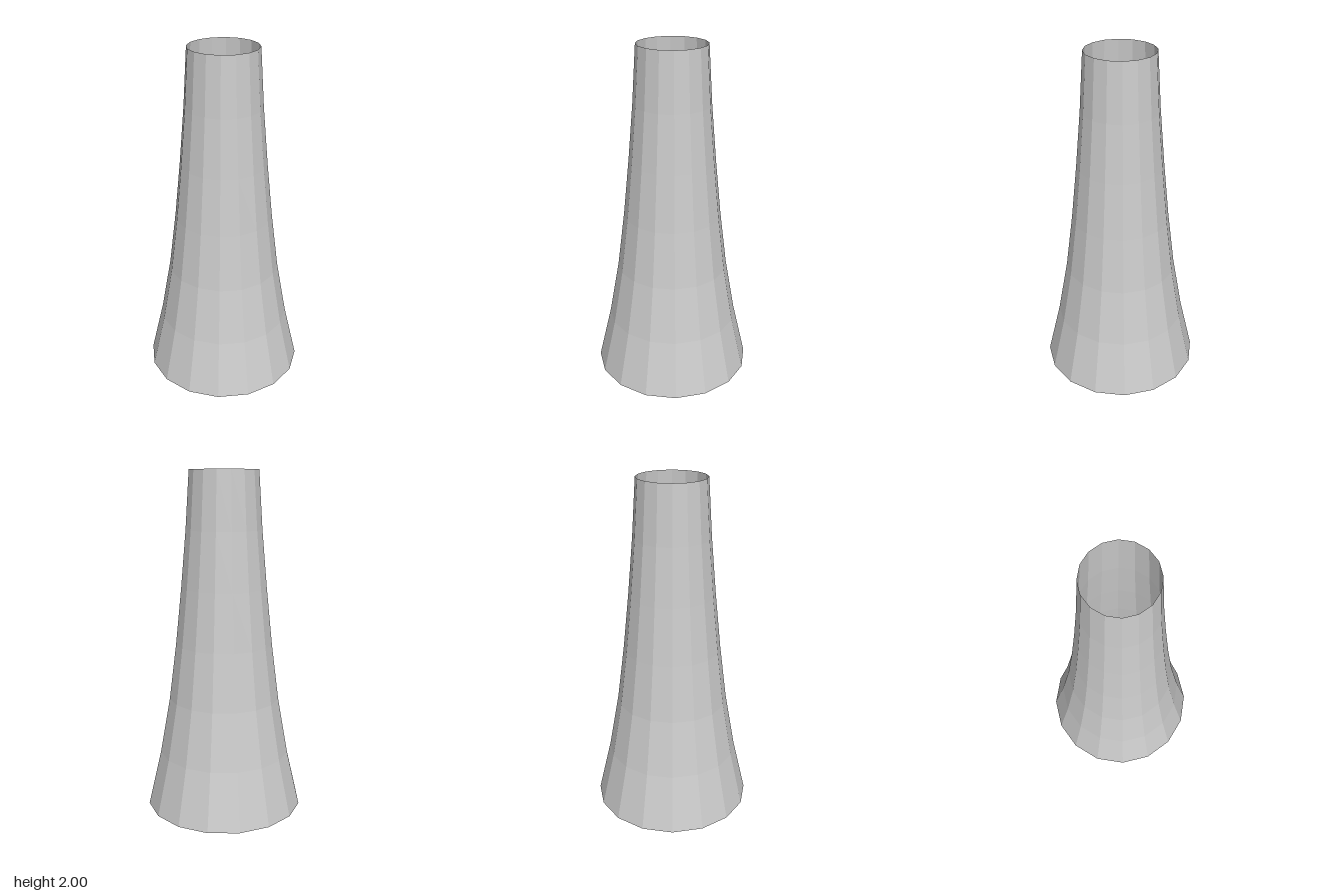
import * as THREE from 'three';

// Flared open tube: radius at evenly spaced heights, bottom to top
const RADII = [0.468, 0.39, 0.33, 0.287, 0.252, 0.222, 0.2];
const HEIGHT = 2;
const SIDES = 16;

export function createModel() {
  const group = new THREE.Group();
  group.name = 'flaredTower';

  const profile = RADII.map((r, i) => new THREE.Vector2(r, (HEIGHT * i) / (RADII.length - 1)));

  // Thin faceted wall, open at both ends
  const wall = new THREE.Mesh(
    new THREE.LatheGeometry(profile, SIDES),
    new THREE.MeshStandardMaterial({ color: 0xcccccc, flatShading: true, side: THREE.DoubleSide })
  );
  wall.name = 'towerWall';
  group.add(wall);

  return group;
}
